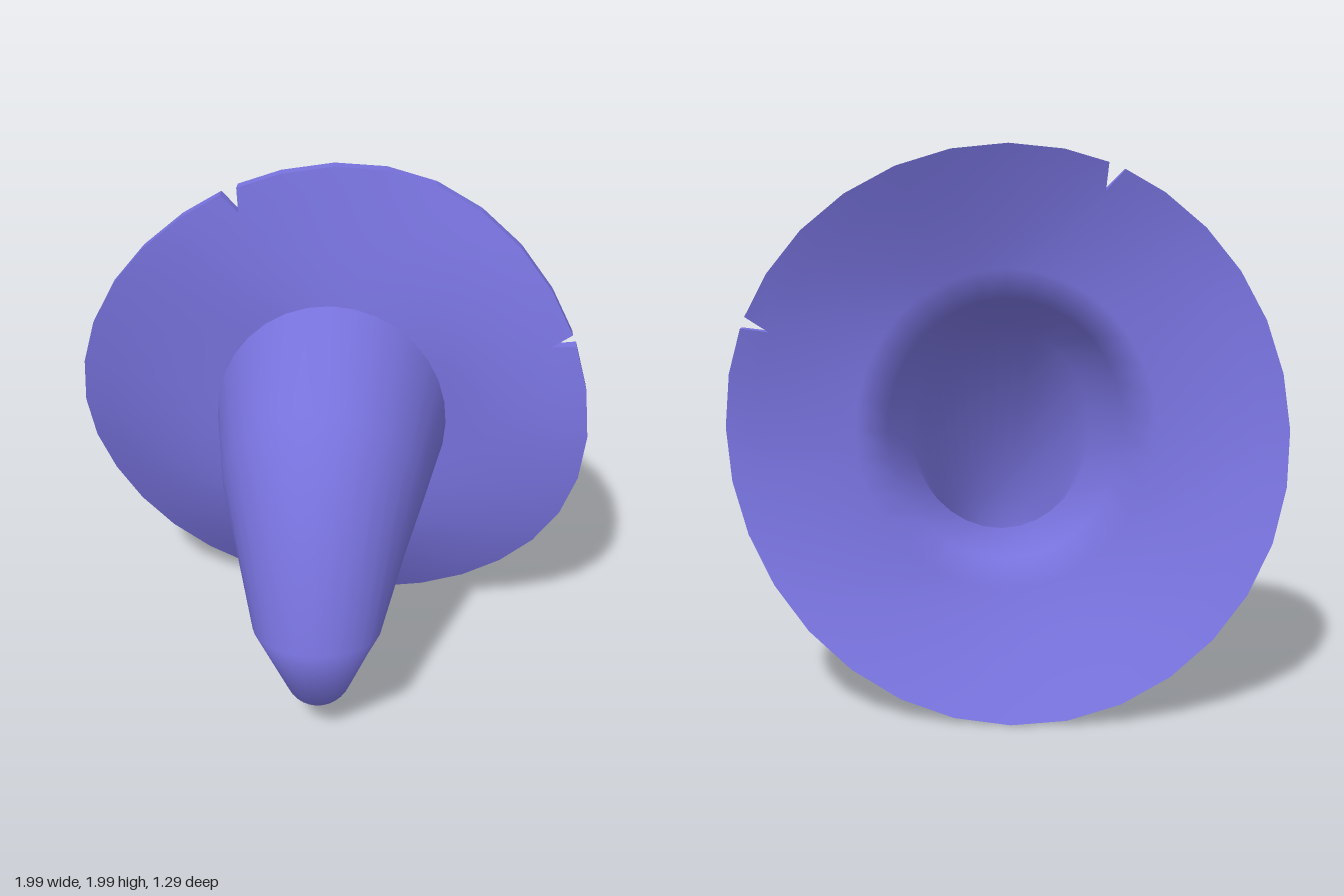
import * as THREE from 'three';
import { mergeVertices } from 'three/addons/utils/BufferGeometryUtils.js';

const DEG = Math.PI / 180;
const SIDES = 32;
const RIM_RADIUS = 0.995;
const THICKNESS = 0.045;

// Crown sections from tip to opening: [top z, top y, bottom z, bottom y, half width]
const SECTIONS = [
  [0.13, 0.01, 0.13, 0.01, 0],
  [0.2, 0.09, 0.12, 0.15, 0.05],
  [0.46, 0.18, 0.2, 0.3, 0.13],
  [0.65, 0.56, 0.13, 0.45, 0.24],
  [0.26, 1.33, -0.03, 0.53, 0.375],
  [-0.28, 1.495, -0.325, 0.5, 0.45],
];

// Wavy depth of the brim's rim, one value every 22.5 degrees from +x towards the top
const RIM_Z = [-0.22, -0.28, -0.38, -0.44, -0.4, -0.32, -0.27, -0.3,
  -0.38, -0.49, -0.56, -0.595, -0.575, -0.505, -0.39, -0.27];
const rimCurve = new THREE.CatmullRomCurve3(
  RIM_Z.map((z, i) => new THREE.Vector3(i, 0, z)), true, 'catmullrom', 0.5);
const rimDepth = (deg) => rimCurve.getPoint((((deg % 360) + 360) % 360) / 360).z;

// Columns around the hat; a notched column is doubled and opens only at the rim
const NOTCHES = { 22.5: [21.1, 23.7], 112.5: [110.7, 114.4] };
const columns = [];
for (let i = 0; i < SIDES; i++) {
  const deg = (i * 360) / SIDES;
  const cut = NOTCHES[deg];
  if (cut) columns.push({ deg, rim: cut[0], notch: true }, { deg, rim: cut[1] });
  else columns.push({ deg, rim: deg });
}

// Point on a crown section, optionally shrunk for the lining
function crownPoint(section, deg, inset) {
  const [tz, ty, bz, by, w] = section;
  const s = inset && w > 0 ? Math.max(0.4, 1 - inset / w) : 1;
  const c = Math.cos(deg * DEG) * s, n = Math.sin(deg * DEG) * s;
  return new THREE.Vector3(c * w, (ty + by) / 2 + n * (ty - by) / 2, (tz + bz) / 2 + n * (tz - bz) / 2);
}

// Point on the brim: t = 0 at the crown opening, t = 1 at the rim
function brimPoint(col, t, back) {
  const start = crownPoint(SECTIONS[5], col.deg, back ? 0.03 : 0);
  if (back) start.z -= 0.02;
  const deg = t === 1 ? col.rim : col.deg;
  const endZ = rimDepth(deg) - (back ? THICKNESS : 0);
  return new THREE.Vector3(
    THREE.MathUtils.lerp(start.x, Math.cos(deg * DEG) * RIM_RADIUS, t),
    THREE.MathUtils.lerp(start.y, 1.005 + Math.sin(deg * DEG) * RIM_RADIUS, t),
    THREE.MathUtils.lerp(start.z, endZ, Math.pow(t, 1.25)));
}

function geometryFrom(points, smooth) {
  let geo = new THREE.BufferGeometry().setFromPoints(points);
  if (smooth) geo = mergeVertices(geo, 1e-5);
  geo.computeVertexNormals();
  return geo;
}

// Surface through rows of points, each row one point per column
function skin(rows, flip) {
  const pts = [];
  for (let r = 0; r < rows.length - 1; r++) {
    for (let i = 0; i < columns.length; i++) {
      if (columns[i].notch) continue;
      const j = (i + 1) % columns.length;
      const a = rows[r][i], b = rows[r + 1][i], c = rows[r + 1][j], d = rows[r][j];
      const tris = [[a, b, c], [a, c, d]];
      for (const t of tris) {
        if (t[0].distanceTo(t[2]) < 1e-6) continue;
        pts.push(...(flip ? [t[0], t[2], t[1]] : t));
      }
    }
  }
  return geometryFrom(pts, true);
}

const NOTCH_T = 0.83;
const BRIM_T = [0, 0.2, 0.42, 0.63, NOTCH_T, 1];
const crownRows = (inset) => SECTIONS.map((s) => columns.map((c) => crownPoint(s, c.deg, inset)));
const brimRows = (back) => BRIM_T.map((t) => columns.map((c) => brimPoint(c, t, back)));

// Thin band joining front and back of the brim, dipping into each notch
function edgeBand() {
  const path = [];
  for (const c of columns) {
    path.push([c, 1]);
    if (c.notch) path.push([c, NOTCH_T]);
  }
  const pts = [];
  path.forEach(([c, t], i) => {
    const [c2, t2] = path[(i + 1) % path.length];
    const f1 = brimPoint(c, t, false), b1 = brimPoint(c, t, true);
    const f2 = brimPoint(c2, t2, false), b2 = brimPoint(c2, t2, true);
    pts.push(f1, b1, b2, f1, b2, f2);
  });
  return geometryFrom(pts, false);
}

export function createModel() {
  const group = new THREE.Group();
  group.name = 'pointedHat';
  const felt = new THREE.MeshStandardMaterial({ color: 0x7772dc });
  felt.name = 'violet felt';

  const add = (name, geo) => {
    const mesh = new THREE.Mesh(geo, felt);
    mesh.name = name;
    group.add(mesh);
  };

  // Bent crown and the front face of the brim meet at a sharp seam
  add('crown', skin(crownRows(0), false));
  add('brim', skin(brimRows(false), false));

  // Inside of the crown flows smoothly into the back of the brim
  const inside = crownRows(0.03).slice(0, -1);
  inside[0].forEach((p) => p.set(0, 0.09, 0.15));
  add('lining', skin([...inside, ...brimRows(true)], true));

  add('brimEdge', edgeBand());
  return group;
}
